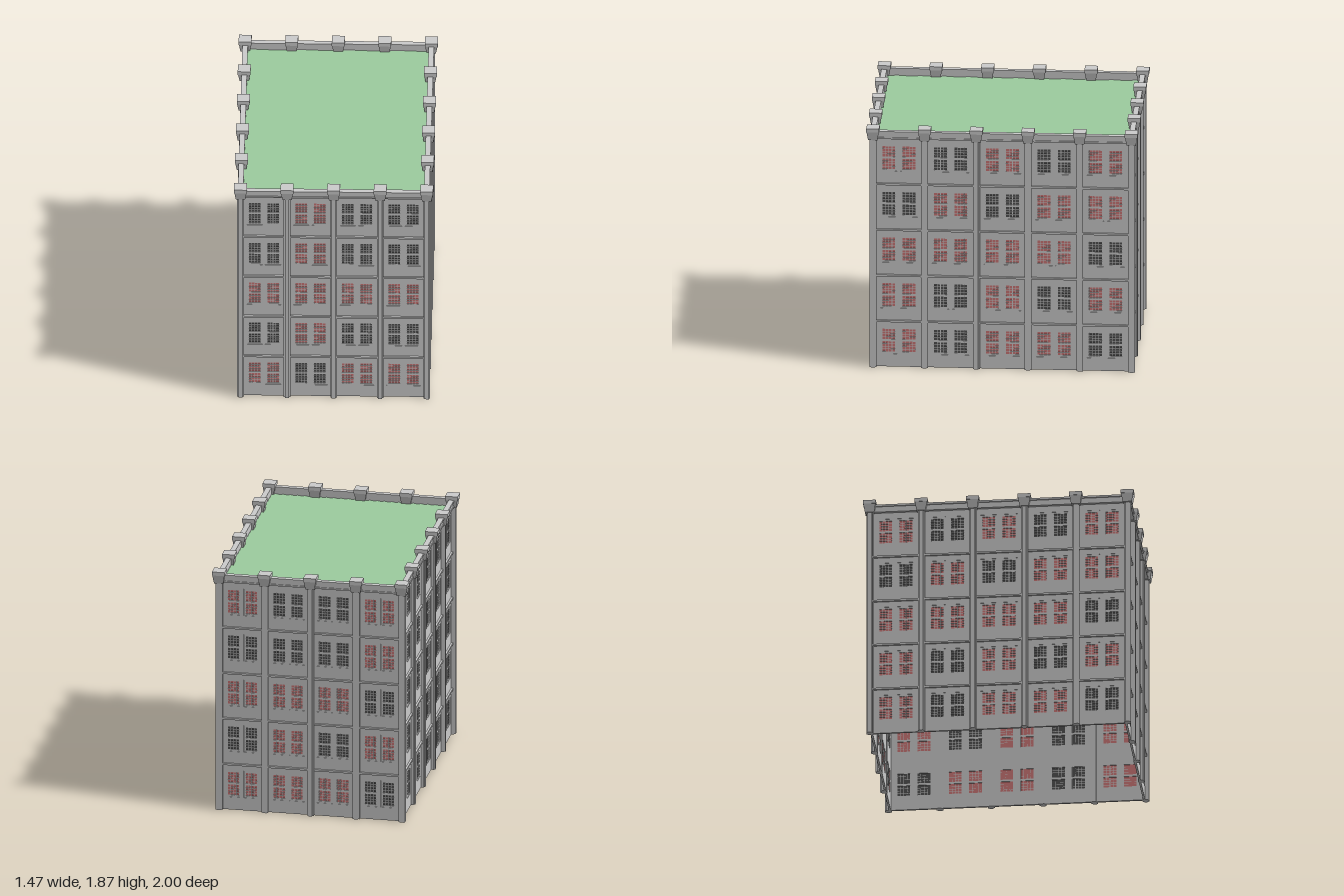
import * as THREE from 'three';
import { mergeGeometries } from 'three/addons/utils/BufferGeometryUtils.js';

const HALF_X = 0.685, HALF_Z = 0.9525; // pillar centre lines
const FLOORS = 5, STOREY = 0.357, WALL_TOP = 1.79;

const stone = new THREE.MeshStandardMaterial({ color: 0xcccccc, flatShading: true });
const redGlass = new THREE.MeshStandardMaterial({ color: 0xcc7676, side: THREE.DoubleSide });
const darkGlass = new THREE.MeshStandardMaterial({ color: 0x505050, side: THREE.DoubleSide });
const roofGreen = new THREE.MeshStandardMaterial({ color: 0x9ccc9f, side: THREE.DoubleSide });

// Window colours per side, top floor first, left to right from outside
const FRONT = ['DRDD', 'DRDD', 'RRRR', 'DRDD', 'RDRR'];
const RIGHT = ['RDRDR', 'DRDRR', 'RRRRD', 'RDRDR', 'RDRRD'];
const BACK = ['RDDR', 'DDDR', 'RRRD', 'DRDR', 'RRRD'];
const LEFT = ['RDRDR', 'DRDRR', 'RRRRD', 'RDRDR', 'RDRRD'];

function box(w, h, d, x, y, z) {
  return new THREE.BoxGeometry(w, h, d).translate(x, y, z).toNonIndexed();
}

function rectPath(path, x0, y0, x1, y1) {
  path.moveTo(x0, y0);
  path.lineTo(x1, y0);
  path.lineTo(x1, y1);
  path.lineTo(x0, y1);
  path.closePath();
  return path;
}

function extrude(shape, depth, z) {
  return new THREE.ExtrudeGeometry(shape, { depth, bevelEnabled: false }).translate(0, 0, z);
}

function addMerged(group, name, geometries, material) {
  if (!geometries.length) return;
  const mesh = new THREE.Mesh(mergeGeometries(geometries), material);
  mesh.name = name;
  group.add(mesh);
}

// One side of the building; local +z points outward
function createFacade(name, bays, pitch, colours) {
  const group = new THREE.Group();
  group.name = name;
  const span = bays * pitch;
  const paneW = 0.247 * pitch, rim = 0.015;
  const wall = rectPath(new THREE.Shape(), -span / 2, 0, span / 2, WALL_TOP);
  const frames = [], muntins = [], red = [], dark = [], ledges = [];

  for (let floor = 0; floor < FLOORS; floor++) {
    const base = floor * STOREY;
    const y0 = base + 0.114, y1 = base + 0.292, mid = (y0 + y1) / 2;
    for (let bay = 0; bay < bays; bay++) {
      const cx = (bay + 0.5) * pitch - span / 2;
      const isRed = colours[FLOORS - 1 - floor][bay] === 'R';

      for (const side of [-1, 1]) {
        const x = cx + side * 0.196 * pitch;
        const x0 = x - paneW / 2, x1 = x + paneW / 2;
        const outer = [x0 - rim, y0 - rim, x1 + rim, y1 + rim];
        wall.holes.push(rectPath(new THREE.Path(), ...outer));

        // Sash frame with an upper and a lower light
        const frame = rectPath(new THREE.Shape(), ...outer);
        for (const [low, high] of [[y0, mid - 0.008], [mid + 0.008, y1]]) {
          frame.holes.push(rectPath(new THREE.Path(), x0, low, x1, high));
          for (let i = 1; i < 4; i++) {
            const t = i / 4;
            muntins.push(box(0.004, high - low, 0.005, x0 + paneW * t, (low + high) / 2, -0.0115));
            muntins.push(box(paneW, 0.004, 0.005, x, low + (high - low) * t, -0.0115));
          }
        }
        frames.push(extrude(frame, 0.012, -0.02));

        const pane = new THREE.PlaneGeometry(paneW + 0.004, y1 - y0 + 0.004).translate(x, mid, -0.014);
        (isRed ? red : dark).push(pane);
      }

      // Ledge on each floor line between pillars
      if (floor > 0) ledges.push(box(pitch - 0.045, 0.014, 0.016, cx, base, 0.001));
    }
  }

  addMerged(group, 'wall', [extrude(wall, 0.015, -0.02)], stone);
  addMerged(group, 'windowFrames', frames, stone);
  addMerged(group, 'windowBars', muntins, stone);
  addMerged(group, 'redPanes', red, redGlass);
  addMerged(group, 'darkPanes', dark, darkGlass);
  addMerged(group, 'floorLedges', ledges, stone);

  // Parapet: base moulding, body, coping
  addMerged(group, 'parapet', [
    box(span, 0.012, 0.036, 0, 1.791, 0),
    box(span, 0.04, 0.031, 0, 1.813, -0.0045),
    box(span, 0.015, 0.04, 0, 1.8375, 0),
  ], stone);
  return group;
}

// Pillar with notched corners, flared capital and top slab
function createPillar(x, z) {
  const pillar = new THREE.Group();
  pillar.name = 'pillar';
  const a = 0.025, b = 0.015;
  const section = new THREE.Shape([
    [a, -b], [a, b], [b, b], [b, a], [-b, a], [-b, b],
    [-a, b], [-a, -b], [-b, -b], [-b, -a], [b, -a], [b, -b],
  ].map(([u, v]) => new THREE.Vector2(u, v)));
  const shaft = extrude(section, 1.79, 0).rotateX(-Math.PI / 2);
  const flare = new THREE.CylinderGeometry(0.045 * Math.SQRT2, 0.034 * Math.SQRT2, 0.065, 4)
    .rotateY(Math.PI / 4).translate(0, 1.8125, 0).toNonIndexed();
  addMerged(pillar, 'shaft', [shaft], stone);
  addMerged(pillar, 'capital', [flare, box(0.095, 0.028, 0.095, 0, 1.859, 0)], stone);
  pillar.position.set(x, 0, z);
  return pillar;
}

export function createModel() {
  const model = new THREE.Group();
  model.name = 'building';

  // Four sides
  const pitchX = HALF_X * 2 / 4, pitchZ = HALF_Z * 2 / 5;
  const sides = [
    ['frontFacade', 4, pitchX, FRONT, 0, HALF_Z],
    ['eastFacade', 5, pitchZ, RIGHT, Math.PI / 2, HALF_X],
    ['backFacade', 4, pitchX, BACK, Math.PI, HALF_Z],
    ['westFacade', 5, pitchZ, LEFT, -Math.PI / 2, HALF_X],
  ];
  for (const [name, bays, pitch, colours, angle, offset] of sides) {
    const facade = createFacade(name, bays, pitch, colours);
    facade.rotation.y = angle;
    facade.position.set(Math.sin(angle) * offset, 0, Math.cos(angle) * offset);
    model.add(facade);
  }

  // Pillars around the perimeter
  for (const s of [-1, 1]) {
    for (let i = 0; i <= 4; i++) model.add(createPillar(-HALF_X + i * pitchX, s * HALF_Z));
    for (let i = 1; i < 5; i++) model.add(createPillar(s * HALF_X, -HALF_Z + i * pitchZ));
  }

  // Flat roof inside the parapet
  const roof = new THREE.Mesh(
    new THREE.PlaneGeometry(HALF_X * 2 - 0.02, HALF_Z * 2 - 0.02).rotateX(-Math.PI / 2), roofGreen);
  roof.name = 'roof';
  roof.position.y = 1.788;
  model.add(roof);

  return model;
}
